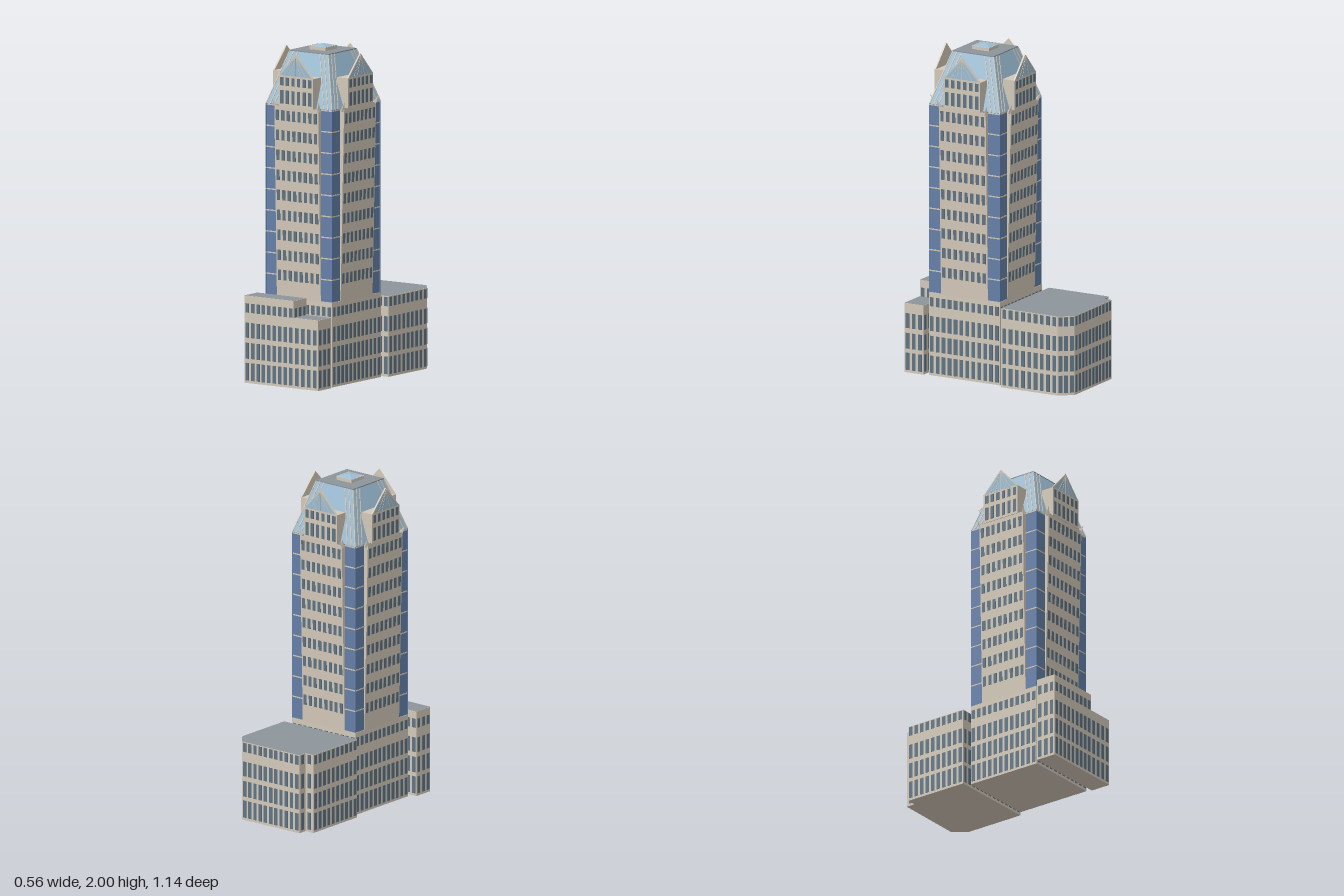
import * as THREE from 'three';
import { mergeGeometries } from 'three/addons/utils/BufferGeometryUtils.js';

const mat = (color) => new THREE.MeshStandardMaterial({ color, flatShading: true });
const STONE = mat(0xd2c8b8), ROOF = mat(0x8d959b), PANE = mat(0x5f7383),
  GLASS = mat(0x647fa8), CROWN = mat(0x9cbdd4);

function add(parent, name, geo, material) {
  const mesh = new THREE.Mesh(geo, material);
  mesh.name = name;
  parent.add(mesh);
  return mesh;
}

const box = (w, h, d, x, y, z) => new THREE.BoxGeometry(w, h, d).translate(x, y, z);

// Square bar between two points
function bar(a, b, t) {
  const p = new THREE.Vector3(...a), q = new THREE.Vector3(...b);
  const dir = q.clone().sub(p);
  const geo = new THREE.BoxGeometry(t, dir.length(), t);
  geo.applyQuaternion(new THREE.Quaternion().setFromUnitVectors(
    new THREE.Vector3(0, 1, 0), dir.normalize()));
  const mid = p.add(q).multiplyScalar(0.5);
  return geo.translate(mid.x, mid.y, mid.z);
}

// Four-sided pyramid or frustum aligned with the axes
const frustum = (half0, half1, y0, y1) =>
  new THREE.CylinderGeometry(half1 * Math.SQRT2, half0 * Math.SQRT2, y1 - y0, 4)
    .rotateY(Math.PI / 4).translate(0, (y0 + y1) / 2, 0);

// Window rows of the lower blocks: bottom and top heights
const ROWS = [[0.015, 0.12], [0.145, 0.24], [0.27, 0.36], [0.42, 0.475]];

// Block from a plan outline of [x, z] corners, windows on every wall
function block(parent, name, plan, height) {
  const g = new THREE.Group();
  g.name = name;
  const pts = plan.map(([x, z]) => new THREE.Vector2(x, -z));
  if (THREE.ShapeUtils.isClockWise(pts)) pts.reverse();
  const shape = new THREE.Shape(pts);
  add(g, name + 'Walls', new THREE.ExtrudeGeometry(shape, { depth: height, bevelEnabled: false })
    .rotateX(-Math.PI / 2), STONE);
  add(g, name + 'Roof', new THREE.ShapeGeometry(shape).rotateX(-Math.PI / 2)
    .translate(0, height + 0.001, 0), ROOF);
  const panes = [];
  pts.forEach((a, i) => {
    const b = pts[(i + 1) % pts.length];
    const len = a.distanceTo(b), n = Math.max(1, Math.round(len / 0.041));
    const turn = Math.atan2(b.y - a.y, b.x - a.x);
    for (let c = 0; c < n; c++) {
      const p = a.clone().lerp(b, (c + 0.5) / n);
      for (const [lo, hi] of ROWS) {
        if (hi > height) continue;
        panes.push(new THREE.BoxGeometry(0.024, hi - lo, 0.004).rotateY(turn)
          .translate(p.x, (lo + hi) / 2, -p.y));
      }
    }
  });
  add(g, name + 'Windows', mergeGeometries(panes), PANE);
  parent.add(g);
}

// Projecting bay on one face, leaning outward, with gable and corner spikes
function makeBay() {
  const g = new THREE.Group();
  g.name = 'bay';
  const y0 = 0.5, y1 = 1.65, out = (y) => 0.243 + 0.026 * (y - y0) / (y1 - y0);

  const shaft = box(0.32, y1 - y0, 0.06, 0, (y0 + y1) / 2, 0.213);
  const pos = shaft.attributes.position;
  for (let i = 0; i < pos.count; i++) {
    if (pos.getZ(i) > 0.213) pos.setZ(i, out(pos.getY(i)));
  }
  shaft.computeVertexNormals();
  add(g, 'bayShaft', shaft, STONE);
  add(g, 'bayLedge', box(0.322, 0.004, 0.08, 0, y1, 0.227), ROOF);
  add(g, 'bayHead', box(0.25, 0.18, 0.08, 0, 1.74, 0.233), STONE);

  // Windows
  const panes = [];
  const tilt = Math.atan(0.026 / (y1 - y0));
  for (let r = 0; r < 10; r++) {
    const y = 1.593 - r * 0.1195;
    if (y < 0.53) break;
    for (let c = 0; c < 8; c++) {
      panes.push(new THREE.BoxGeometry(0.022, 0.062, 0.004).rotateX(tilt)
        .translate((c - 3.5) * 0.0395, y, out(y)));
    }
  }
  for (const [lo, hi] of [[1.665, 1.745], [1.773, 1.822]]) {
    for (let c = 0; c < 6; c++) {
      panes.push(box(0.022, hi - lo, 0.004, (c - 2.5) * 0.041, (lo + hi) / 2, 0.273));
    }
  }
  add(g, 'bayWindows', mergeGeometries(panes), PANE);

  // Thin gable with glazed front and fan of ribs
  const tri = (w, h) => new THREE.Shape([[-w, 0], [w, 0], [0, h]]
    .map((p) => new THREE.Vector2(...p)));
  add(g, 'gable', new THREE.ExtrudeGeometry(tri(0.125, 0.133), { depth: 0.01, bevelEnabled: false })
    .translate(0, 1.83, 0.264), STONE);
  add(g, 'gableGlass', new THREE.ShapeGeometry(tri(0.112, 0.119)).translate(0, 1.834, 0.275), CROWN);
  const fan = [-0.07, -0.035, 0, 0.035, 0.07]
    .map((x) => bar([x, 1.834, 0.275], [0, 1.953, 0.275], 0.003));
  add(g, 'gableRibs', mergeGeometries(fan), STONE);

  // Outward-leaning spikes on the shoulders
  for (const s of [-1, 1]) {
    const spike = new THREE.ConeGeometry(0.016, 0.06, 4)
      .rotateX(0.4).rotateZ(-s * 0.3).translate(s * 0.162, 1.665, 0.266);
    add(g, 'spike', spike, STONE);
  }
  return g;
}

export function createModel() {
  const model = new THREE.Group();
  model.name = 'tower';

  // Low blocks in front of and behind the tower
  block(model, 'frontBlock', [[-0.28, 0.44], [0.077, 0.44], [0.077, 0.568], [-0.28, 0.568]], 0.52);
  block(model, 'frontLowBlock', [[0.077, 0.44], [0.255, 0.44], [0.255, 0.568], [0.077, 0.568]], 0.42);
  block(model, 'rearBlock', [[-0.28, -0.105], [0.278, -0.105], [0.28, -0.49], [0.215, -0.57],
    [-0.22, -0.566], [-0.22, -0.51], [-0.28, -0.51]], 0.48);

  const tower = new THREE.Group();
  tower.name = 'mainTower';
  tower.position.z = 0.166;
  model.add(tower);
  const h = 0.243;
  block(tower, 'towerBase', [[-h, -h], [h, -h], [h, h], [-h, h]], 0.505);

  // Glass shaft with thin floor bands
  add(tower, 'glassShaft', box(0.48, 1.15, 0.48, 0, 1.075, 0), GLASS);
  const bands = [];
  for (let y = 1.645; y > 0.55; y -= 0.126) bands.push(box(0.484, 0.007, 0.484, 0, y, 0));
  add(tower, 'floorBands', mergeGeometries(bands), STONE);
  const corners = [];
  for (const x of [-1, 1]) for (const z of [-1, 1]) {
    corners.push(box(0.006, 1.15, 0.006, x * 0.239, 1.075, z * 0.239));
  }
  add(tower, 'cornerMullions', mergeGeometries(corners), GLASS);

  // Sloping glass crown, its ribs and the small cap
  add(tower, 'crown', frustum(0.24, 0.14, 1.65, 1.96), CROWN);
  add(tower, 'crownRoof', box(0.282, 0.006, 0.282, 0, 1.962, 0), ROOF);
  add(tower, 'capBase', box(0.115, 0.022, 0.115, 0, 1.975, 0), STONE);
  add(tower, 'cap', frustum(0.06, 0.001, 1.984, 2.0), CROWN);

  for (let i = 0; i < 4; i++) {
    const side = new THREE.Group();
    side.name = 'towerSide';
    side.rotation.y = i * Math.PI / 2;
    side.add(makeBay());
    const ribs = [];
    for (const s of [-1, 1]) for (const d of [0, 0.03, 0.06]) {
      ribs.push(bar([s * (0.24 - d), 1.65, 0.24], [s * (0.14 - d), 1.96, 0.14], 0.006));
    }
    add(side, 'crownRibs', mergeGeometries(ribs), STONE);
    tower.add(side);
  }
  return model;
}
